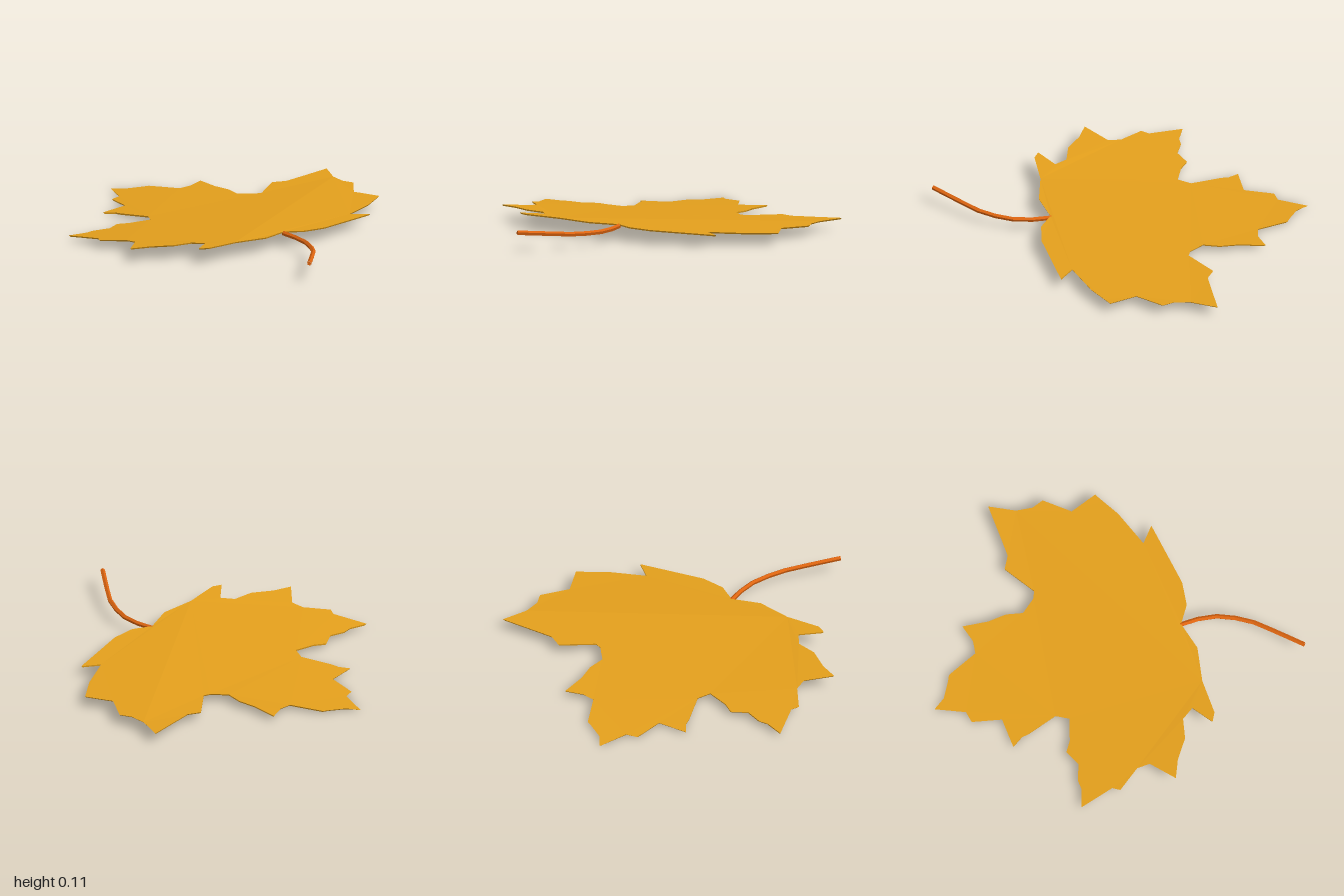
import * as THREE from 'three';

// Leaf outline as [x, z], clockwise from the tip
const OUTLINE = [
  // tip and left-hand notches
  [-0.18, -1], [-0.13, -0.94], [-0.04, -0.9], [-0.01, -0.89], [0.08, -0.73], [0.15, -0.73],
  [0.24, -0.77], [0.24, -0.63], [0.26, -0.53], [0.25, -0.44], [0.32, -0.37], [0.36, -0.36],
  // left lobe
  [0.51, -0.49], [0.58, -0.46], [0.7, -0.48], [0.87, -0.51], [0.82, -0.37], [0.82, -0.28],
  [0.85, -0.22], [0.76, -0.08], [0.83, 0.06], [0.79, 0.09], [0.7, 0.16], [0.51, 0.26],
  // lower lobes and stem notch
  [0.6, 0.32], [0.25, 0.42], [0.12, 0.42], [0.02, 0.37], [-0.13, 0.43], [-0.32, 0.42],
  [-0.51, 0.45], [-0.56, 0.43], [-0.46, 0.34], [-0.51, 0.28], [-0.62, 0.27], [-0.73, 0.21],
  // right lobe
  [-0.83, 0.18], [-0.72, 0.06], [-0.73, -0.01], [-0.83, -0.12], [-0.81, -0.16], [-0.88, -0.34],
  [-0.78, -0.32], [-0.73, -0.33], [-0.64, -0.31], [-0.56, -0.36], [-0.5, -0.33], [-0.38, -0.31],
  // right-hand notches
  [-0.35, -0.38], [-0.42, -0.54], [-0.43, -0.58], [-0.47, -0.63], [-0.31, -0.66],
  [-0.29, -0.82], [-0.23, -0.84],
];
const THICKNESS = 0.008;
const UNDERSIDE_SCALE = 0.99;

// Gentle twist: steeper slope towards -x, almost flat towards +x
const leafHeight = (x, z) => 0.054 + (0.05 - 0.058 * x) * z;

export function createModel() {
  const model = new THREE.Group();
  model.name = 'leaf';

  const golden = new THREE.MeshStandardMaterial({ color: 0xe39f1c });
  golden.name = 'golden leaf';
  const russet = new THREE.MeshStandardMaterial({ color: 0xdc6410 });
  russet.name = 'russet stem';

  // Blade: thin extruded outline, bent by the height rule, with edges undercut
  const shape = new THREE.Shape(OUTLINE.map(([x, z]) => new THREE.Vector2(x, -z)));
  const bladeGeo = new THREE.ExtrudeGeometry(shape, { depth: THICKNESS, bevelEnabled: false });
  bladeGeo.rotateX(-Math.PI / 2);
  const pos = bladeGeo.attributes.position;
  for (let i = 0; i < pos.count; i++) {
    const x = pos.getX(i), y = pos.getY(i), z = pos.getZ(i);
    const inset = y < THICKNESS / 2 ? UNDERSIDE_SCALE : 1;
    pos.setXYZ(i, x * inset, Math.max(0, y + leafHeight(x, z)), z * inset);
  }
  bladeGeo.computeVertexNormals();
  const blade = new THREE.Mesh(bladeGeo, golden);
  blade.name = 'blade';
  model.add(blade);

  // Stem: faceted curved tube that rises slightly towards its end
  const path = new THREE.CatmullRomCurve3([
    [0.02, 0.07, 0.365], [0.035, 0.068, 0.48], [0.03, 0.068, 0.57],
    [-0.03, 0.074, 0.73], [-0.12, 0.087, 0.855], [-0.225, 0.102, 0.99],
  ].map((p) => new THREE.Vector3(...p)));
  const stemGeo = new THREE.TubeGeometry(path, 7, 0.013, 5, false).toNonIndexed();
  stemGeo.computeVertexNormals();
  const stem = new THREE.Mesh(stemGeo, russet);
  stem.name = 'stem';
  model.add(stem);

  // Cut end of the stem
  const cap = new THREE.Mesh(new THREE.CircleGeometry(0.012, 5), russet);
  cap.name = 'stemEnd';
  cap.position.copy(path.getPoint(1));
  cap.lookAt(path.getPoint(1).add(path.getTangent(1)));
  model.add(cap);

  return model;
}
